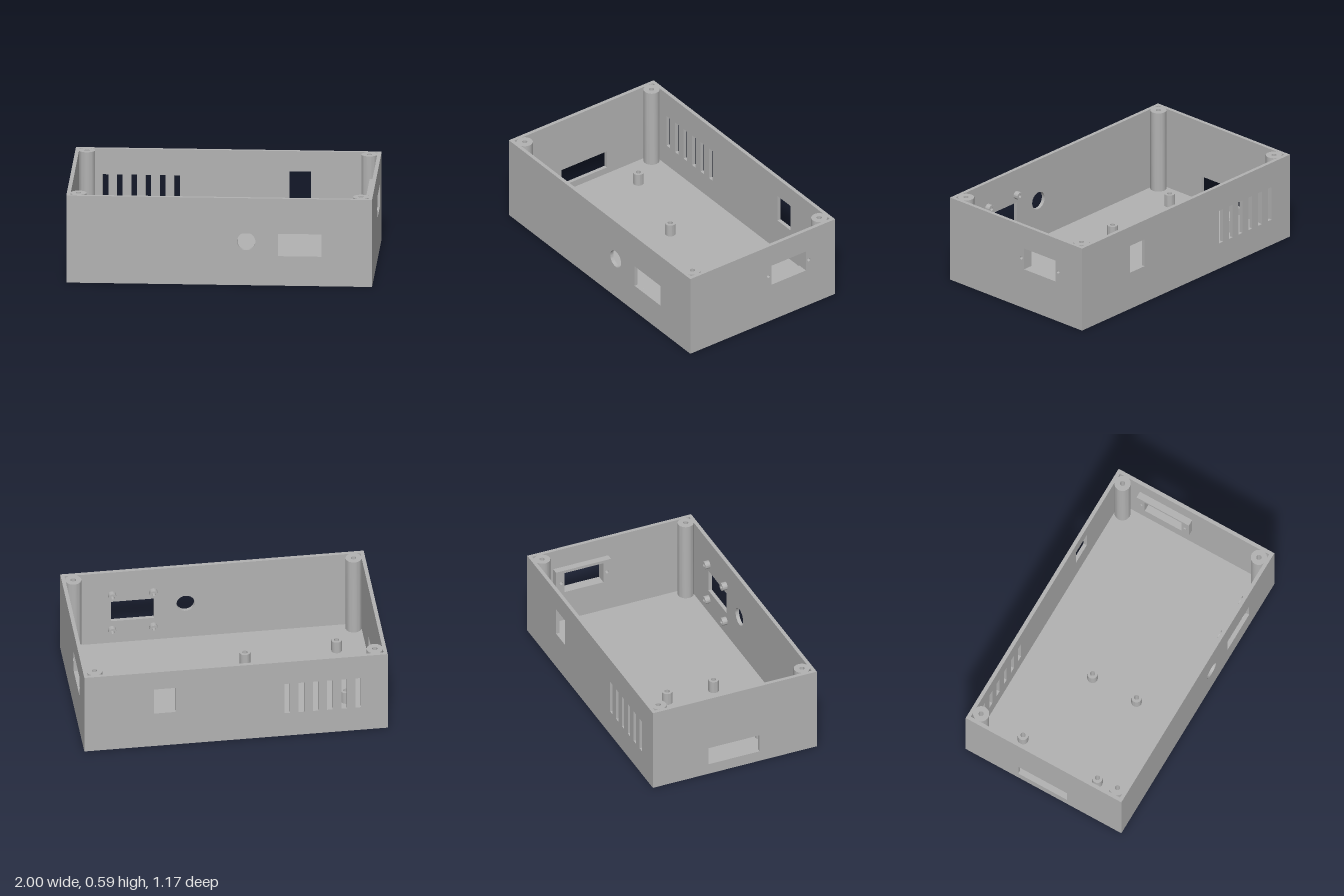
import * as THREE from 'three';
import { toCreasedNormals } from 'three/addons/utils/BufferGeometryUtils.js';

const W = 1, D = 0.587, H = 0.59, T = 0.025, FLOOR = 0.028;

export function createModel() {
  const model = new THREE.Group();
  model.name = 'enclosure';
  const grey = new THREE.MeshStandardMaterial({ color: 0xb2b2b2 });
  grey.name = 'grey plastic';

  const add = (name, geometry, x = 0, y = 0, z = 0) => {
    const mesh = new THREE.Mesh(geometry, grey);
    mesh.name = name;
    mesh.position.set(x, y, z);
    model.add(mesh);
    return mesh;
  };

  const rect = (C, x0, y0, x1, y1) => {
    const p = new C();
    p.moveTo(x0, y0);
    p.lineTo(x1, y0);
    p.lineTo(x1, y1);
    p.lineTo(x0, y1);
    p.closePath();
    return p;
  };
  const slot = (...b) => rect(THREE.Path, ...b);
  const hole = (x, y, r) => new THREE.Path().absarc(x, y, r, 0, Math.PI * 2, true);

  // Flat plate with cut-outs; bounds are x0, y0, x1, y1
  const plate = (bounds, depth, holes) => {
    const shape = rect(THREE.Shape, ...bounds);
    shape.holes.push(...holes);
    const g = new THREE.ExtrudeGeometry(shape, { depth, bevelEnabled: false, curveSegments: 24 });
    return toCreasedNormals(g, 0.6);
  };
  // Plate turned so its width runs along z and its thickness along -x
  const sidePlate = (...args) => plate(...args).rotateY(-Math.PI / 2);

  // Hollow round post standing on y = 0
  const tube = (ro, ri, h) => {
    const profile = [[ri, 0], [ro, 0], [ro, h], [ri, h], [ri, 0]].map(p => new THREE.Vector2(...p));
    return toCreasedNormals(new THREE.LatheGeometry(profile, 32), 0.6);
  };

  // Floor
  add('floor', new THREE.BoxGeometry(2 * (W - T), FLOOR, 2 * (D - T)), 0, FLOOR / 2, 0);

  // Front wall: round button hole and display window
  add('frontWall', plate([-W, 0, W, H], T, [
    hole(0.177, 0.297, 0.06),
    slot(0.385, 0.2, 0.67, 0.355),
  ]), 0, 0, D - T);

  // Back wall: connector window and six ventilation slots
  const backHoles = [slot(0.398, 0.26, 0.54, 0.453)];
  for (let i = 0; i < 6; i++) {
    const x = -0.824 + i * 0.0936;
    backHoles.push(slot(x, 0.181, x + 0.037, 0.415));
  }
  add('backWall', plate([-W, 0, W, H], T, backHoles), 0, 0, -D);

  // Side walls; the socket opening continues through an inner frame
  const socketHoles = () => [
    slot(-0.35, 0.28, -0.072, 0.43),
    hole(-0.047, 0.355, 0.012),
    hole(-0.374, 0.355, 0.012),
  ];
  const side = [-D + T, 0, D - T, H];
  add('socketWall', sidePlate(side, T, socketHoles()), W);
  add('socketFrame', sidePlate([-0.412, 0.26, -0.018, 0.45], 0.045, socketHoles()), W - T);
  add('portWall', sidePlate(side, T, [slot(-0.19, 0.075, 0.177, 0.202)]), -W + T);

  // Corner screw posts, flush with the rim
  for (const x of [-0.924, 0.924])
    for (const z of [-0.514, 0.514])
      add('cornerPost', tube(0.053, 0.017, H - FLOOR), x, FLOOR, z);

  // Circuit board standoffs on the floor
  for (const [x, z] of [[-0.765, -0.29], [-0.78, 0.28], [-0.168, -0.11], [-0.168, 0.222]])
    add('floorStandoff', tube(0.035, 0.017, 0.085), x, FLOOR, z);

  // Display bosses inside the front wall
  for (const x of [0.39, 0.663])
    for (const y of [0.135, 0.411])
      add('displayBoss', tube(0.027, 0.012, 0.035), x, y, D - T).rotation.x = -Math.PI / 2;

  return model;
}
